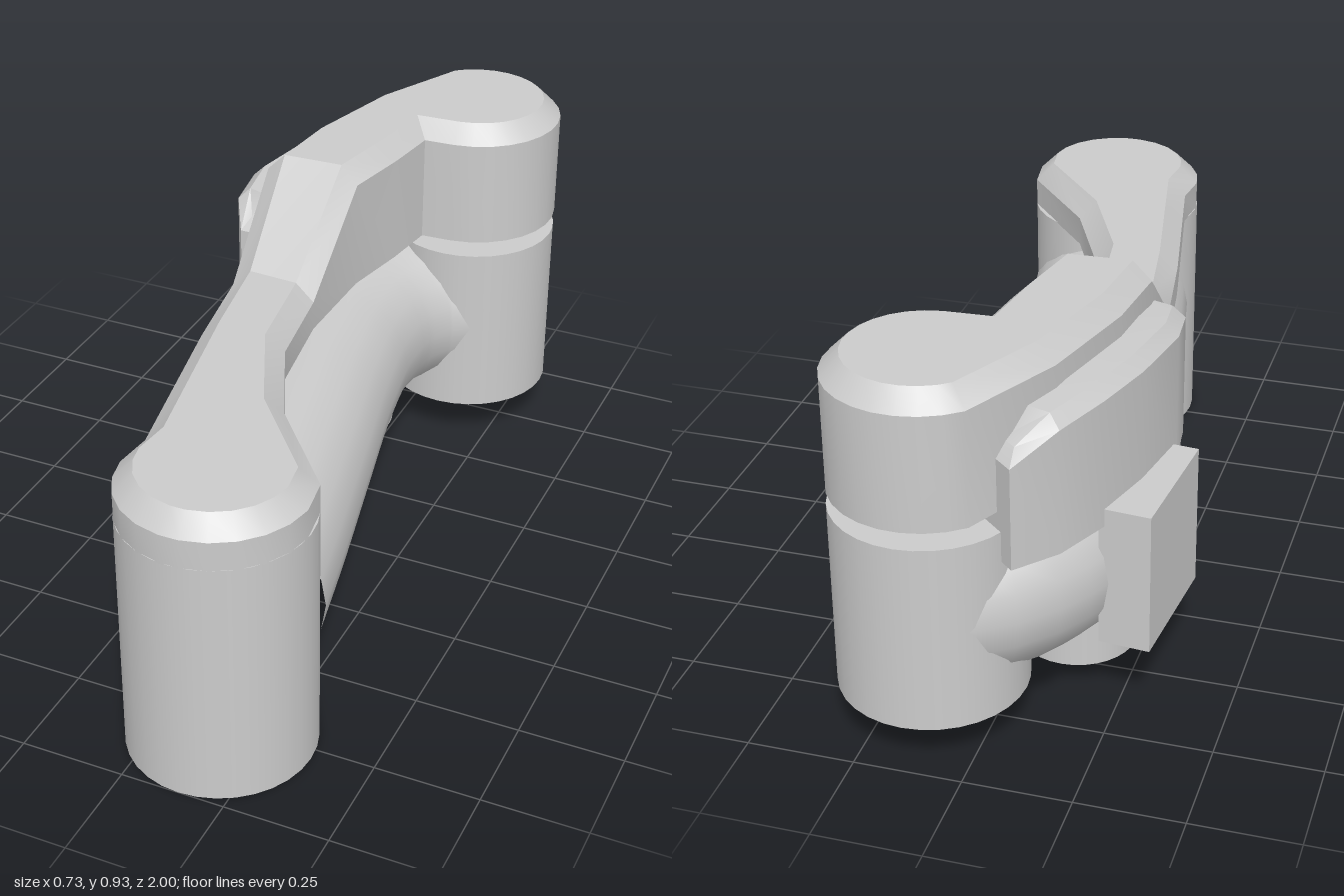
import * as THREE from 'three';
import { toCreasedNormals } from 'three/addons/utils/BufferGeometryUtils.js';

const material = new THREE.MeshStandardMaterial({ color: 0xcccccc });

function add(group, name, geometry, x = 0, y = 0, z = 0) {
  const mesh = new THREE.Mesh(geometry, material);
  mesh.name = name;
  mesh.position.set(x, y, z);
  group.add(mesh);
  return mesh;
}

function post(group, name, x, z, radius, bottom, top) {
  add(group, name, new THREE.CylinderGeometry(radius, radius, top - bottom, 32), x, (bottom + top) / 2, z);
}

// Upright slab with a chamfered top. Stations run front to back: [leftXZ, rightXZ, topHeight].
function chamferedSlab(stations, bottom, bevel) {
  const n = stations.length;
  const loop = [
    ...stations.map(([l, , t]) => [...l, t]),
    ...stations.map(([, r, t]) => [...r, t]).reverse(),
  ];
  const count = loop.length;
  const inward = (a, b) => new THREE.Vector2(a[1] - b[1], b[0] - a[0]).normalize();
  const low = [], shoulder = [], top = [];
  loop.forEach((p, i) => {
    const n1 = inward(loop[(i + count - 1) % count], p);
    const n2 = inward(p, loop[(i + 1) % count]);
    const miter = n1.clone().add(n2).multiplyScalar(bevel / Math.max(0.5, 1 + n1.dot(n2)));
    low.push([p[0], bottom, p[1]]);
    shoulder.push([p[0], p[2] - bevel, p[1]]);
    top.push([p[0] + miter.x, p[2], p[1] + miter.y]);
  });
  const positions = [];
  const quad = (a, b, c, d) => positions.push(...a, ...b, ...c, ...a, ...c, ...d);
  for (let i = 0; i < count; i++) {
    const j = (i + 1) % count;
    quad(low[i], shoulder[i], shoulder[j], low[j]);
    quad(shoulder[i], top[i], top[j], shoulder[j]);
  }
  for (let i = 0; i < n - 1; i++) {
    const r = count - 1 - i;
    quad(top[i], top[r], top[r - 1], top[i + 1]);
    quad(low[i], low[i + 1], low[r - 1], low[r]);
  }
  const geometry = new THREE.BufferGeometry();
  geometry.setAttribute('position', new THREE.Float32BufferAttribute(positions, 3));
  return toCreasedNormals(geometry, 0.5);
}

// Point on a circle, angle in degrees from +z towards +x
function onCircle(x, z, radius, degrees) {
  const a = THREE.MathUtils.degToRad(degrees);
  return [x + radius * Math.sin(a), z + radius * Math.cos(a)];
}

export function createModel() {
  const group = new THREE.Group();

  // Upright joint housings and the small underside hub
  post(group, 'frontPost', 0.14, 0.78, 0.22, 0, 0.615);
  post(group, 'rearPost', 0.135, -0.78, 0.217, 0.115, 0.57);
  post(group, 'undersideHub', -0.11, -0.47, 0.14, 0.065, 0.32);

  // Stepped top cover: round front, narrow waist, ramp, round rear
  const lowTop = 0.73, highTop = 0.93;
  const cover = [];
  for (const a of [6, 22, 38, 54, 70, 86]) {
    cover.push([onCircle(0.14, 0.78, 0.22, -a), onCircle(0.14, 0.78, 0.22, a), lowTop]);
  }
  cover.push(
    [[-0.07, 0.7], [0.345, 0.7], lowTop],
    [[-0.11, 0.5], [0.16, 0.48], lowTop],
    [[-0.16, 0.25], [0.05, 0.24], lowTop],
    [[-0.2, 0], [0.015, 0], lowTop],
    [[-0.22, -0.25], [0.02, -0.25], highTop],
    [[-0.2, -0.44], [0.055, -0.42], highTop],
    [[-0.13, -0.7], [0.075, -0.56], highTop],
  );
  for (let k = 0; k <= 8; k++) {
    const step = k * 12.8;
    cover.push([onCircle(0.135, -0.78, 0.217, 223 - step), onCircle(0.135, -0.78, 0.217, 5 + step), highTop]);
  }
  add(group, 'topCover', chamferedSlab(cover, 0.612, 0.045));

  // Thick curved arm tube joining the two posts
  const path = new THREE.CatmullRomCurve3([
    [0.14, 0.72], [0.09, 0.48], [0.02, 0.17], [-0.05, -0.15],
    [-0.08, -0.38], [-0.06, -0.56], [0.02, -0.7], [0.135, -0.78],
  ].map(([x, z]) => new THREE.Vector3(x, 0.352, z)));
  add(group, 'armTube', new THREE.TubeGeometry(path, 28, 0.213, 20));

  // Curved pod hugging the side of the cover
  const pod = [
    [[-0.26, -0.17], [-0.2, -0.17], 0.77],
    [[-0.295, -0.23], [-0.19, -0.22], 0.825],
    [[-0.308, -0.35], [-0.18, -0.33], 0.835],
    [[-0.275, -0.53], [-0.15, -0.5], 0.835],
    [[-0.23, -0.68], [-0.11, -0.65], 0.835],
    [[-0.17, -0.81], [-0.06, -0.76], 0.825],
    [[-0.09, -0.9], [-0.01, -0.83], 0.77],
  ];
  add(group, 'sidePod', chamferedSlab(pod, 0.497, 0.03));

  // Flat connector block on the side of the tube
  const block = add(group, 'sideBlock', new THREE.BoxGeometry(0.12, 0.345, 0.32), -0.291, 0.368, -0.525);
  block.rotation.y = -0.09;

  return group;
}
